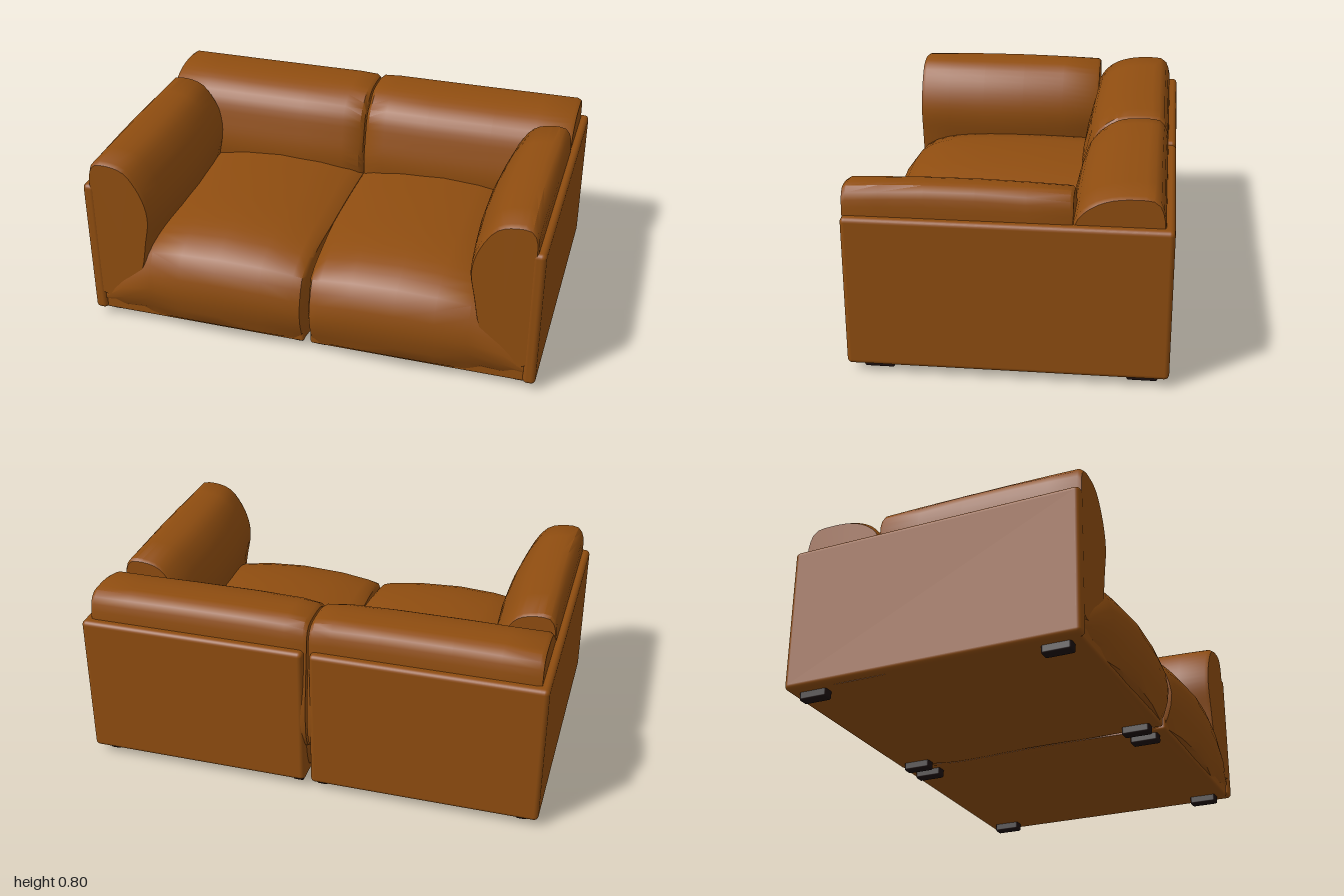
import * as THREE from 'three';
import { toCreasedNormals } from 'three/addons/utils/BufferGeometryUtils.js';
import { RoundedBoxGeometry } from 'three/addons/geometries/RoundedBoxGeometry.js';

const leather = new THREE.MeshStandardMaterial({ color: 0x8f4d10 });
leather.name = 'tan leather';
const darkWood = new THREE.MeshStandardMaterial({ color: 0x1c1010 });
darkWood.name = 'dark wood';

const N = 56; // points round each cross-section

// Smooth closed outline through a few [u, v] points
function outline(points) {
  const curve = new THREE.CatmullRomCurve3(points.map(([u, v]) => new THREE.Vector3(u, v, 0)), true);
  return curve.getSpacedPoints(N).slice(0, N);
}

// Scale an outline about its middle, used to round off the ends of a cushion
function shrink(ring, k) {
  const c = new THREE.Box3().setFromPoints(ring).getCenter(new THREE.Vector3());
  return ring.map((p) => p.clone().sub(c).multiplyScalar(k).add(c));
}

// Closed skin over a row of rings, with capped ends; faces are turned outward
function loft(rings) {
  const pts = rings.flat();
  const index = [];
  for (let i = 0; i < rings.length - 1; i++) {
    for (let j = 0; j < N; j++) {
      const a = i * N + j, b = i * N + (j + 1) % N;
      index.push(a, b, a + N, b, b + N, a + N);
    }
  }
  [0, rings.length - 1].forEach((r) => {
    const mid = pts.length;
    pts.push(new THREE.Box3().setFromPoints(rings[r]).getCenter(new THREE.Vector3()));
    for (let j = 0; j < N; j++) {
      const a = r * N + j, b = r * N + (j + 1) % N;
      if (r === 0) index.push(mid, b, a);
      else index.push(mid, a, b);
    }
  });
  let volume = 0;
  const cross = new THREE.Vector3();
  for (let i = 0; i < index.length; i += 3) {
    volume += pts[index[i]].dot(cross.crossVectors(pts[index[i + 1]], pts[index[i + 2]]));
  }
  if (volume < 0) index.reverse();
  const g = new THREE.BufferGeometry().setFromPoints(pts);
  g.setIndex(index);
  return toCreasedNormals(g, 0.7);
}

// Seat: bulging top and front, falling away beneath the arm
function seatGeometry(s) {
  const stations = [ // x, top height, front depth, end scale
    [0.009, 0.42, 0.63, 0.97], [0.022, 0.428, 0.643, 1], [0.06, 0.442, 0.652, 1],
    [0.2, 0.466, 0.662, 1], [0.4, 0.478, 0.668, 1], [0.57, 0.466, 0.662, 1],
    [0.71, 0.44, 0.65, 1], [0.85, 0.32, 0.637, 1], [0.965, 0.2, 0.618, 1],
  ];
  return loft(stations.map(([x, top, f, k], i) => {
    const y = (t) => 0.037 + (top - 0.037) * t;
    const ring = outline([
      [-0.6, y(0.1)], [-0.6, y(0.92)], [-0.3, y(0.97)], [0.05, y(1)], [0.35, y(0.98)],
      [0.5, y(0.92)], [0.59, y(0.82)], [f - 0.023, y(0.67)], [f, y(0.4)], [f - 0.025, y(0.13)],
      [f - 0.05, y(0.01)], [0.5, y(0)], [0, y(0)], [-0.5, y(0)],
    ]);
    // the inner edges meet towards the back and part at the front
    return shrink(ring, k).map((p) => new THREE.Vector3(
      s * (i === 0 ? x - 0.008 * (1 - THREE.MathUtils.smoothstep(p.x, 0.2, 0.45)) : x), p.y, p.x));
  }));
}

// Back cushion: rolled top, pinched beside the centre seam
function backGeometry(s) {
  const stations = [ // x, front pull-in, top drop, end scale
    [0.004, 0.04, 0.012, 0.98], [0.02, 0.025, 0.005, 1], [0.1, 0.01, 0, 1],
    [0.3, 0, 0, 1], [0.6, 0, 0, 1], [0.8, 0.005, 0, 1], [0.95, 0.005, 0, 1], [0.966, 0.01, 0.004, 0.98],
  ];
  return loft(stations.map(([x, pull, drop, k]) => {
    const ring = outline([
      [-0.635, 0.2], [-0.635, 0.67], [-0.626, 0.74], [-0.6, 0.787 - drop], [-0.52, 0.797 - drop],
      [-0.42, 0.787 - drop], [-0.335 - pull, 0.755 - drop], [-0.283 - pull, 0.7], [-0.252 - pull, 0.6],
      [-0.232 - pull, 0.5], [-0.235 - pull, 0.42], [-0.3, 0.2],
    ]);
    return shrink(ring, k).map((p) => new THREE.Vector3(s * x, p.y, p.x));
  }));
}

// Arm cushion: rolled inner side, swelling gently at mid length
function armGeometry(s) {
  const stations = [[-0.28, 0.97], [-0.268, 1], [-0.1, 1], [0.1, 1], [0.3, 1], [0.48, 1], [0.605, 1], [0.622, 0.965]];
  return loft(stations.map(([z, k]) => {
    const b = Math.sin(Math.PI * (z + 0.28) / 0.902);
    const inn = 0.03 * (1 - b), up = 0.008 * b;
    const ring = outline([
      [0.965, 0.12], [0.968, 0.45], [0.968, 0.67], [0.962, 0.75], [0.94, 0.786 + up], [0.86, 0.79 + up],
      [0.785 + inn / 2, 0.768 + up], [0.72 + inn, 0.705], [0.683 + inn, 0.62], [0.672 + inn, 0.54],
      [0.69 + inn, 0.43], [0.76, 0.25], [0.86, 0.12],
    ]);
    return shrink(ring, k).map((p) => new THREE.Vector3(s * p.x, p.y, z));
  }));
}

export function createModel() {
  const sofa = new THREE.Group();
  sofa.name = 'sofa';

  for (const s of [1, -1]) {
    const half = new THREE.Group();
    half.name = s > 0 ? 'leftModule' : 'rightModule';
    sofa.add(half);

    const add = (name, geometry, material = leather) => {
      const mesh = new THREE.Mesh(geometry, material);
      mesh.name = name;
      half.add(mesh);
      return mesh;
    };
    // Rounded box given by its limits on each axis
    const box = (name, [x0, x1], [y0, y1], [z0, z1], r, material) => {
      const g = new RoundedBoxGeometry(x1 - x0, y1 - y0, z1 - z0, 3, r);
      add(name, g, material).position.set(s * (x0 + x1) / 2, (y0 + y1) / 2, (z0 + z1) / 2);
    };

    // Outer shell and base
    box('sideShell', [0.945, 1], [0.035, 0.674], [-0.67, 0.625], 0.02);
    box('backShell', [0.014, 0.999], [0.035, 0.674], [-0.67, -0.61], 0.02);
    box('base', [0.014, 0.99], [0.0355, 0.2], [-0.66, 0.61], 0.012);

    // Upholstery
    add('seat', seatGeometry(s));
    add('backCushion', backGeometry(s));
    add('armCushion', armGeometry(s));

    // Feet
    for (const x of [0.03, 0.9]) {
      for (const z of [-0.625, 0.44]) {
        box('foot', [x, x + 0.05], [0, 0.045], [z, z + 0.125], 0.01, darkWood);
      }
    }
  }
  return sofa;
}
